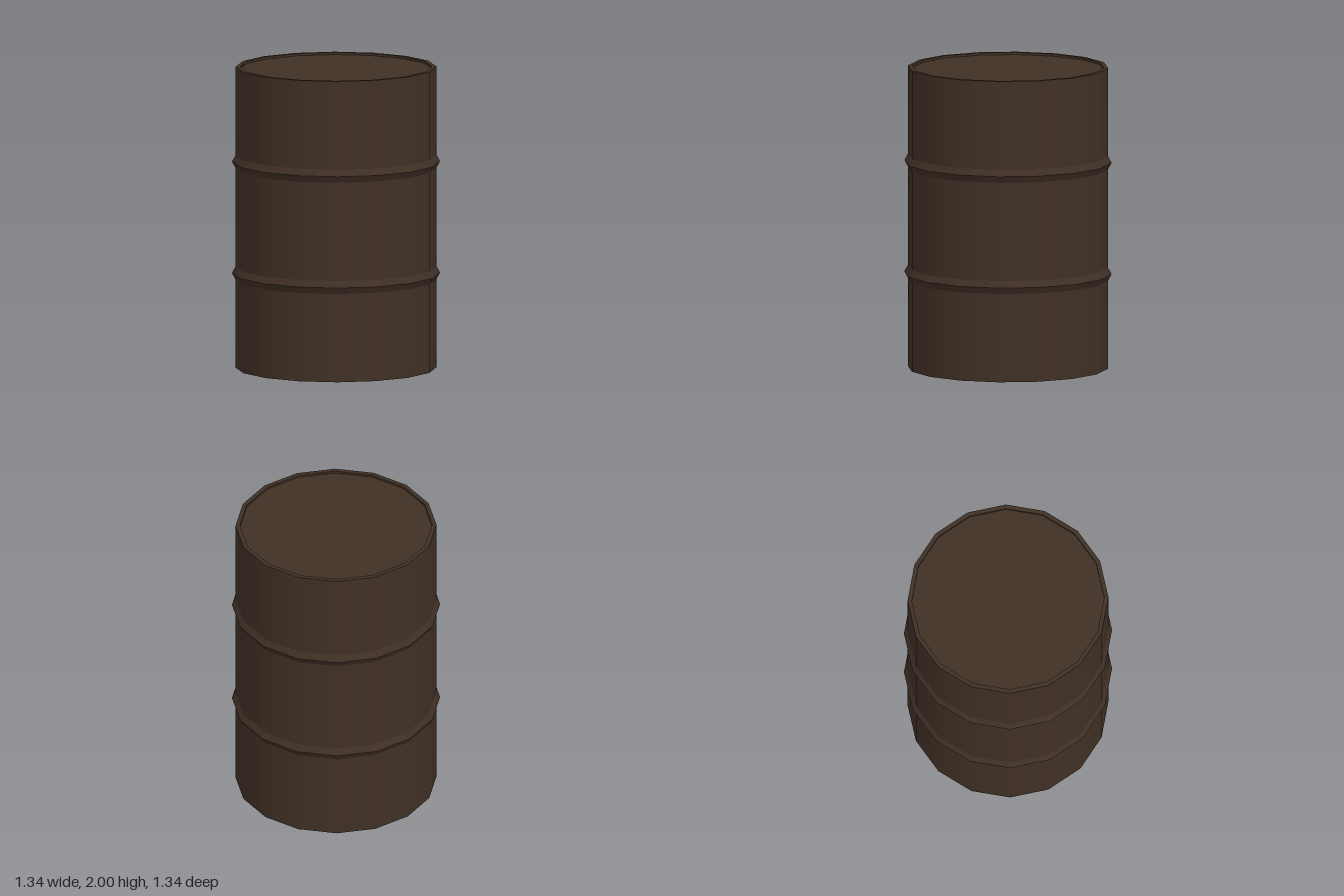
import * as THREE from 'three';
import { mergeGeometries } from 'three/addons/utils/BufferGeometryUtils.js';

const SIDES = 16;
const HALF_STEP = Math.PI / SIDES;

// Turns a profile of [distance to flat, y]; smooth around, sharp between bands.
function turned(profile) {
  const points = profile.map(([r, y]) => new THREE.Vector2(r / Math.cos(HALF_STEP), y));
  const bands = [];
  for (let i = 0; i < points.length - 1; i++) {
    bands.push(new THREE.LatheGeometry([points[i], points[i + 1]], SIDES, HALF_STEP));
  }
  return mergeGeometries(bands);
}

export function createModel() {
  const barrel = new THREE.Group();
  barrel.name = 'barrel';
  const brown = new THREE.MeshStandardMaterial({ color: 0x403025 });
  brown.name = 'dark brown metal';

  const add = (name, profile) => {
    const mesh = new THREE.Mesh(turned(profile), brown);
    mesh.name = name;
    barrel.add(mesh);
  };

  const wall = 0.648, inner = 0.62, recess = 0.015, ridge = 0.671;
  const ridgeHeights = [0.63, 1.37], half = 0.043;

  // Wall sections between the ridges
  const [low, high] = ridgeHeights;
  add('lowerWall', [[wall, 0], [wall, low - half]]);
  add('middleWall', [[wall, low + half], [wall, high - half]]);
  add('upperWall', [[wall, high + half], [wall, 2]]);

  // Pointed rolling ridges
  for (const y of ridgeHeights) {
    add('rollingRidge', [[wall, y - half], [ridge, y], [wall, y + half]]);
  }

  // Recessed ends with a narrow rim
  add('bottom', [[0, recess], [inner, recess], [inner, 0], [wall, 0]]);
  add('lid', [[wall, 2], [inner, 2], [inner, 2 - recess], [0, 2 - recess]]);

  return barrel;
}
